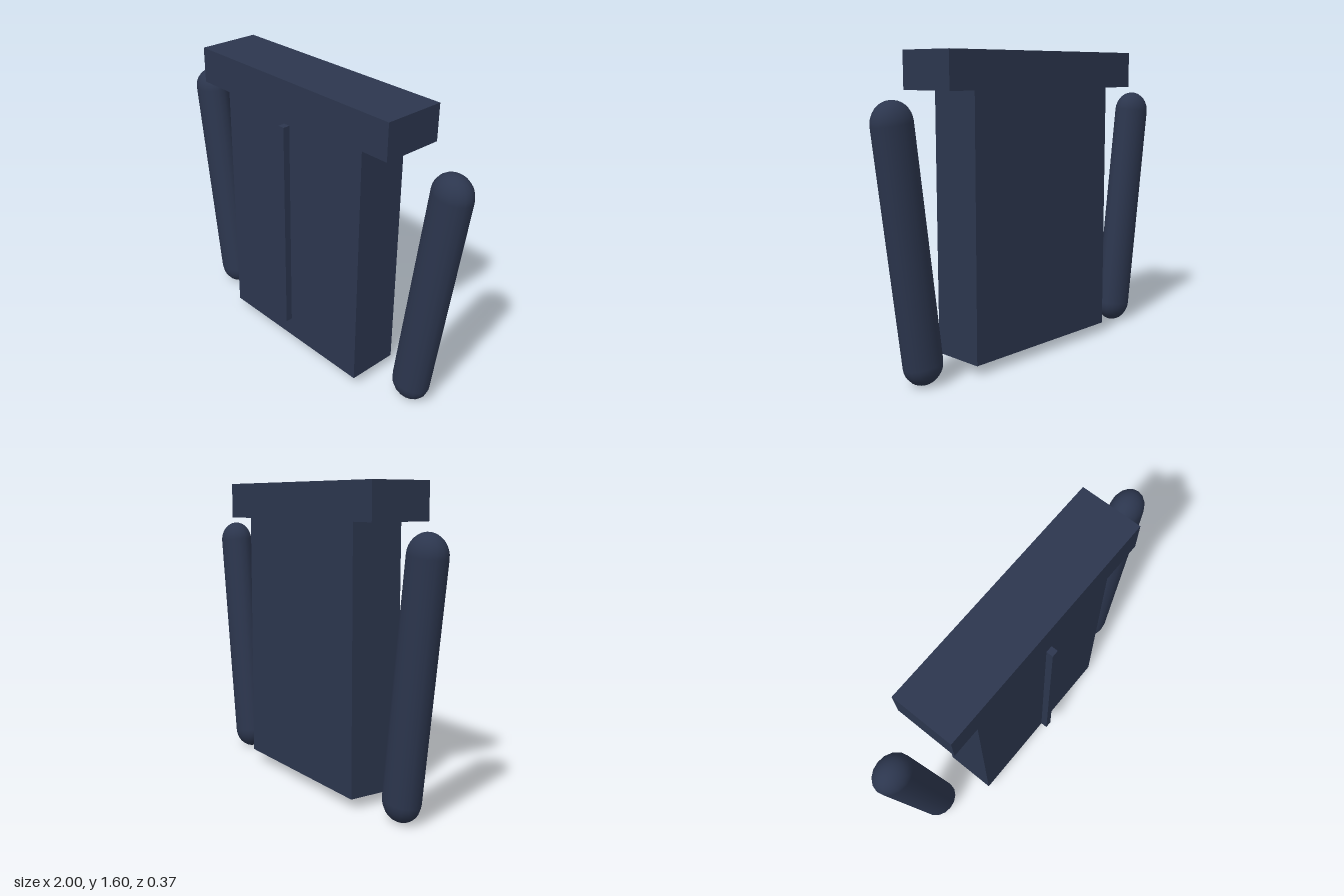
import * as THREE from 'three';

export function createModel() {
  const model = new THREE.Group();
  const cloth = new THREE.MeshStandardMaterial({ color: 0x2c364e });

  const add = (name, geometry, x, y, z) => {
    const mesh = new THREE.Mesh(geometry, cloth);
    mesh.name = name;
    mesh.position.set(x, y, z);
    model.add(mesh);
    return mesh;
  };

  // Torso slab, wider shoulder yoke and the floating front strip
  add('body', new THREE.BoxGeometry(0.99, 1.356, 0.288), 0, 0.732, -0.02);
  add('shoulderYoke', new THREE.BoxGeometry(1.344, 0.19, 0.336), 0, 1.505, -0.02);
  add('frontStrip', new THREE.BoxGeometry(0.038, 1.176, 0.038), 0, 0.785, 0.167);

  // Sleeves: capsules flattened in depth, leaning outward at the top
  const radius = 0.107;
  const top = new THREE.Vector2(0.893, 1.266);
  const bottom = new THREE.Vector2(0.744, 0.107);
  const axis = top.clone().sub(bottom);
  const sleeve = new THREE.CapsuleGeometry(radius, axis.length(), 8, 16);
  for (const side of [1, -1]) {
    const mesh = add(side > 0 ? 'leftSleeve' : 'rightSleeve', sleeve,
      side * (top.x + bottom.x) / 2, (top.y + bottom.y) / 2, -0.049);
    mesh.rotation.z = -side * Math.atan2(axis.x, axis.y);
    mesh.scale.z = 0.8;
  }

  return model;
}
